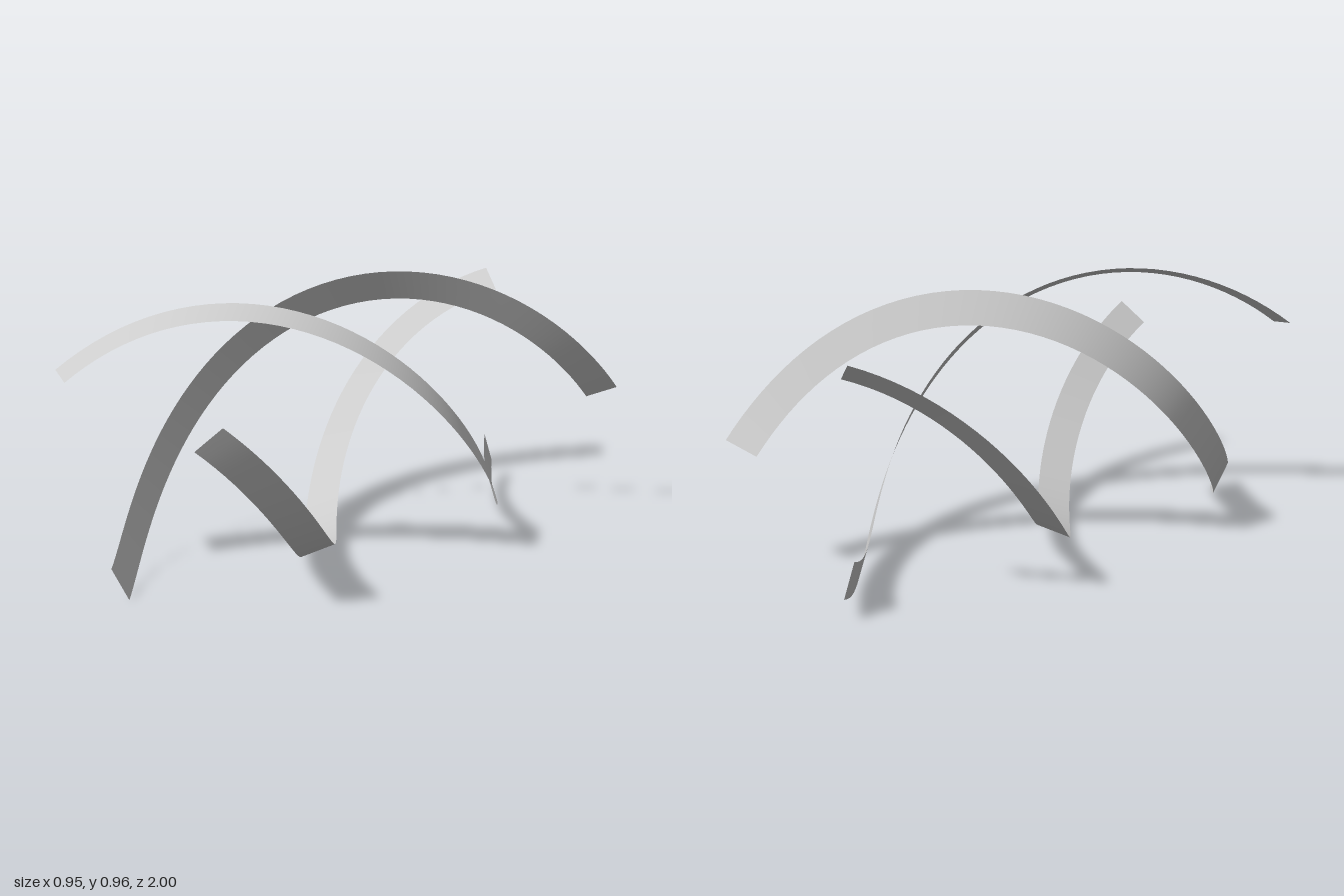
import * as THREE from 'three';

const AXIS_Y = 0.478;       // height of the common helix axis
const HALF_LENGTH = 0.975;  // half the centreline length along z
const SWEEP = THREE.MathUtils.degToRad(264.2);
const WIDTH = 0.125;
const SEGMENTS = 56;

// A flat strip bent into a helix around z, making half a twist along its length
function ribbonGeometry(startDegrees) {
  const geometry = new THREE.PlaneGeometry(1, 1, 2, SEGMENTS);
  const pos = geometry.attributes.position;
  const start = THREE.MathUtils.degToRad(startDegrees);
  for (let i = 0; i < pos.count; i++) {
    const across = pos.getX(i) * WIDTH;
    const t = 0.5 - pos.getY(i);
    // The turn lags slightly around the middle, and the helix narrows to the back
    const angle = start - SWEEP * (t - 0.012 * Math.sin(Math.PI * t));
    const radius = 0.428 + 0.09 * t - 0.18 * t ** 2 + 0.048 * t ** 3;
    const twist = THREE.MathUtils.degToRad(32 + 182 * t);

    const radial = new THREE.Vector3(Math.cos(angle), Math.sin(angle), 0);
    // Lies on the helix cylinder, square to the direction of travel
    const binormal = new THREE.Vector3(-radial.y, radial.x, 0).multiplyScalar(-2 * HALF_LENGTH);
    binormal.z = radius * SWEEP;
    binormal.normalize();

    const p = radial.clone().multiplyScalar(radius - across * Math.cos(twist));
    p.addScaledVector(binormal, across * Math.sin(twist));
    pos.setXYZ(i, p.x, p.y + AXIS_Y, p.z + HALF_LENGTH * (1 - 2 * t));
  }
  geometry.computeVertexNormals();
  return geometry;
}

export function createModel() {
  const group = new THREE.Group();
  group.name = 'twistedRibbons';
  const material = new THREE.MeshStandardMaterial({ color: 0xcccccc, side: THREE.DoubleSide });

  // Three ribbons spaced around the axis, by their angle at the front end
  const ribbons = { upperRibbon: 147.1, lowerRibbon: 261.3, sideRibbon: 21.6 };
  for (const [name, degrees] of Object.entries(ribbons)) {
    const mesh = new THREE.Mesh(ribbonGeometry(degrees), material);
    mesh.name = name;
    group.add(mesh);
  }
  return group;
}
